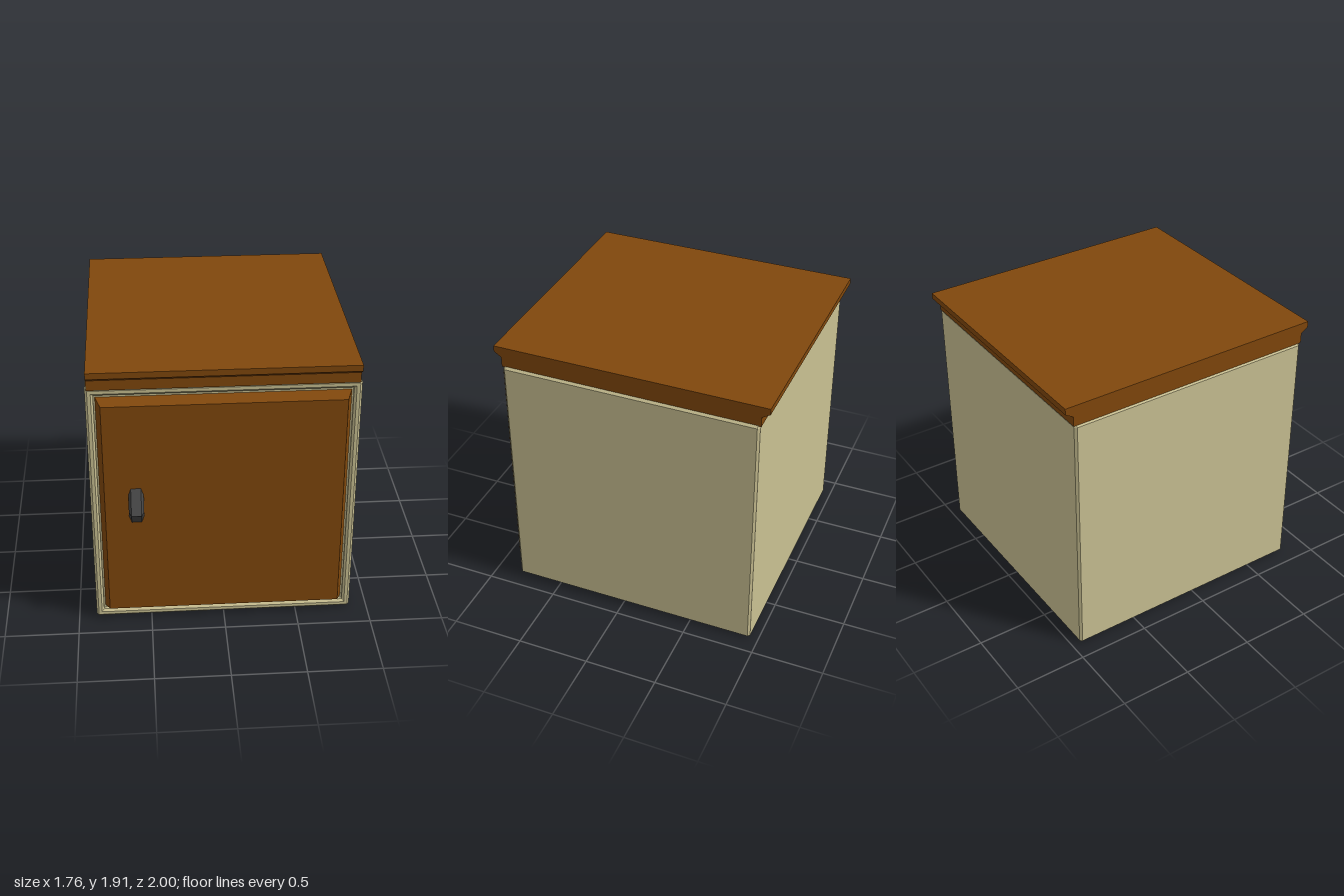
import * as THREE from 'three';

const wood = new THREE.MeshStandardMaterial({ color: 0x80470c });
const paint = new THREE.MeshStandardMaterial({ color: 0xc9c092 });
const iron = new THREE.MeshStandardMaterial({ color: 0x444444 });

// Joins closed rings of points into a capped, flat-faced solid.
// Rings run counter-clockwise as seen from the last ring's end.
function loft(rings) {
  const pos = [];
  const tri = (...pts) => pts.forEach((p) => pos.push(...p));
  const n = rings[0].length;
  for (let r = 0; r < rings.length - 1; r++) {
    const a = rings[r], b = rings[r + 1];
    for (let i = 0; i < n; i++) {
      const j = (i + 1) % n;
      tri(a[i], a[j], b[j]);
      tri(a[i], b[j], b[i]);
    }
  }
  const first = rings[0], last = rings[rings.length - 1];
  for (let i = 1; i < n - 1; i++) {
    tri(first[0], first[i + 1], first[i]);
    tri(last[0], last[i], last[i + 1]);
  }
  const geometry = new THREE.BufferGeometry();
  geometry.setAttribute('position', new THREE.Float32BufferAttribute(pos, 3));
  geometry.computeVertexNormals();
  return geometry;
}

// Upright rectangle with cut corners at depth z.
function rectRing(w, y0, y1, z, c = 0.001) {
  return [
    [-w + c, y0, z], [w - c, y0, z], [w, y0 + c, z], [w, y1 - c, z],
    [w - c, y1, z], [-w + c, y1, z], [-w, y1 - c, z], [-w, y0 + c, z],
  ];
}

export function createModel() {
  const model = new THREE.Group();
  const add = (name, geometry, material) => {
    const mesh = new THREE.Mesh(geometry, material);
    mesh.name = name;
    model.add(mesh);
  };

  // Bevelled cabinet box with a shallow recess in the front for the door
  const bodyRing = (inset, z, c) => rectRing(0.88 - inset, inset, 1.775 - inset, z, c);
  add('cabinetBody', loft([
    bodyRing(0.015, -0.94),
    bodyRing(0, -0.925, 0.015),
    bodyRing(0, 0.805, 0.015),
    bodyRing(0.015, 0.82),
    bodyRing(0.037, 0.82),
    bodyRing(0.052, 0.805),
    bodyRing(0.052, 0.785),
  ]), paint);

  // Door panel with sloping edges
  add('door', loft([
    rectRing(0.82, 0.068, 1.702, 0.78),
    rectRing(0.785, 0.1, 1.67, 0.87),
  ]), wood);

  // Worktop: moulded profile (-z, y) run across the width
  const profile = new THREE.Shape([
    [-0.83, 1.77], [0.945, 1.77], [0.945, 1.84], [1, 1.873],
    [1, 1.915], [-0.88, 1.915], [-0.88, 1.873], [-0.83, 1.84],
  ].map(([u, v]) => new THREE.Vector2(u, v)));
  const top = new THREE.ExtrudeGeometry(profile, { depth: 1.735, bevelEnabled: false });
  top.rotateY(Math.PI / 2).translate(-0.87, 0, 0);
  add('worktop', top, wood);

  // Bent handle: six-sided bar, pairs are (x, distance behind the outer face)
  const section = [
    [-0.033, 0], [0.033, 0], [0.05, 0.05], [0.033, 0.09], [-0.033, 0.09], [-0.05, 0.05],
  ];
  const handleRing = (side) => section.map(([x, d]) =>
    side === 0 ? [x - 0.58, 0.933, 1 - d] : [x - 0.58, 0.933 + side * (0.14 - d), 0.86]);
  add('doorHandle', loft([-1, 0, 1].map(handleRing)), iron);

  return model;
}
